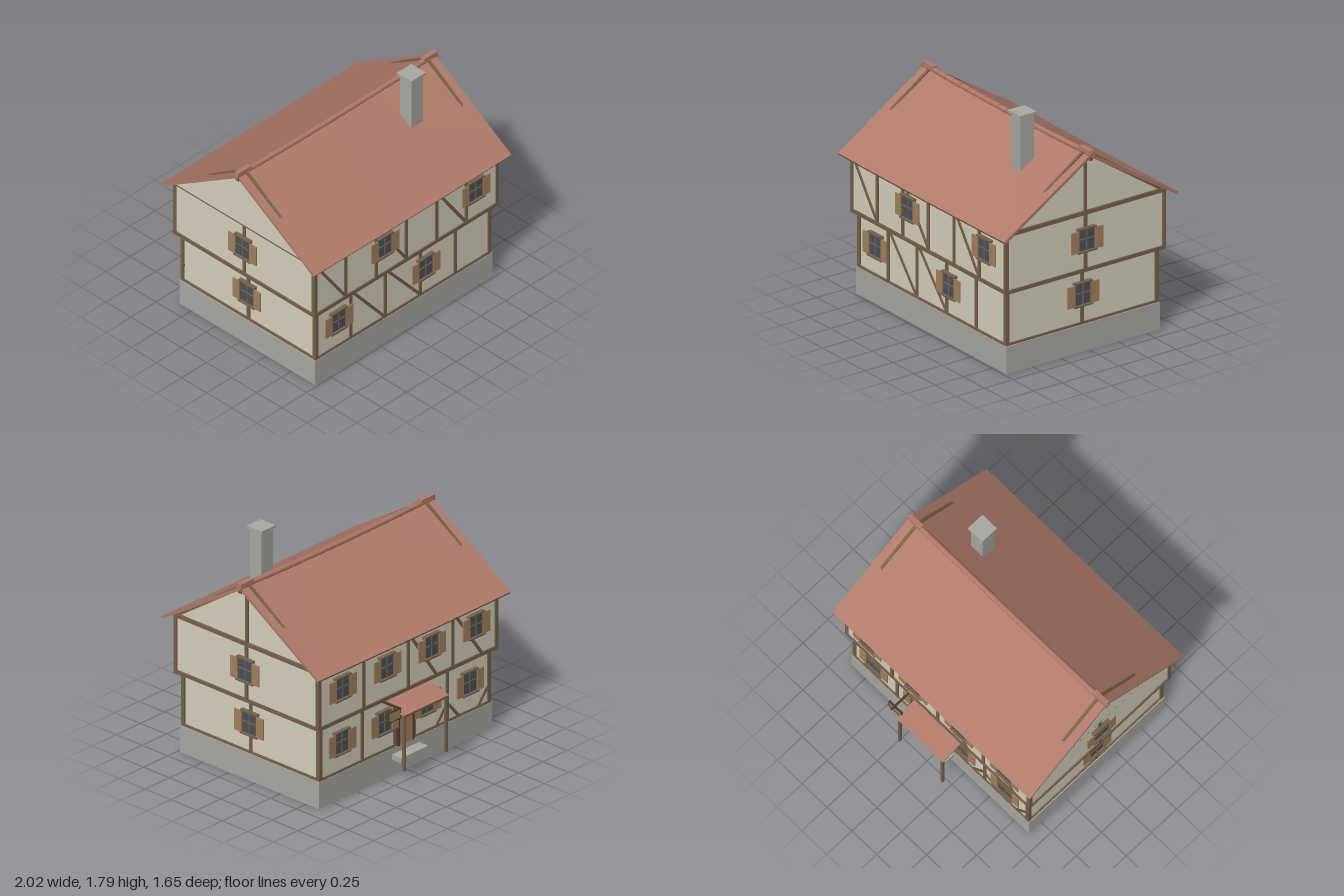
import * as THREE from 'three';

const paint = (color) => new THREE.MeshStandardMaterial({ color });
const stone = paint(0xaaa8a2), plaster = paint(0xd6d0bc), timber = paint(0x77624c), tile = paint(0xb07a6a);
const glass = paint(0x48525e), wood = paint(0xa5825f), dark = paint(0x4e3c2e), lamp = paint(0xe0b878);

function box(parent, name, mat, w, h, d, x, y, z) {
  const mesh = new THREE.Mesh(new THREE.BoxGeometry(w, h, d), mat);
  mesh.name = name;
  mesh.position.set(x, y, z);
  parent.add(mesh);
  return mesh;
}

// Straight timber between two points of a wall plane
function beam(parent, name, x1, y1, x2, y2, width = 0.025, z = 0, depth = 0.03) {
  const m = box(parent, name, timber, Math.hypot(x2 - x1, y2 - y1), width, depth, (x1 + x2) / 2, (y1 + y2) / 2, z - depth / 2);
  m.rotation.z = Math.atan2(y2 - y1, x2 - x1);
  return m;
}

// Window with cross bars, sill, lintel and open shutters
function addWindow(parent, x, y) {
  const g = new THREE.Group();
  g.name = 'window';
  g.position.set(x, y, 0);
  parent.add(g);
  box(g, 'pane', glass, 0.135, 0.165, 0.02, 0, 0, -0.005);
  for (const s of [-1, 1]) {
    box(g, 'frameSide', timber, 0.01, 0.17, 0.025, s * 0.07, 0, 0);
    box(g, 'shutter', wood, 0.068, 0.165, 0.01, s * 0.105, -0.005, 0.012);
  }
  box(g, 'lintel', timber, 0.16, 0.012, 0.035, 0, 0.087, 0.003);
  box(g, 'sill', timber, 0.165, 0.012, 0.04, 0, -0.09, 0.003);
  box(g, 'mullion', timber, 0.011, 0.165, 0.014, 0, 0, 0.004);
  box(g, 'transom', timber, 0.135, 0.01, 0.014, 0, 0.005, 0.004);
}

// One storey of one side: rails, posts, braces and windows
function facade(parent, name, { angle, dist, half, y0, y1, posts, braces = [], windows, wy }) {
  const g = new THREE.Group();
  g.name = name;
  g.rotation.y = angle;
  g.position.set(Math.sin(angle) * dist, 0, Math.cos(angle) * dist);
  parent.add(g);
  beam(g, 'bottomRail', -half, y0, half, y0, 0.028);
  beam(g, 'topRail', -half, y1, half, y1, 0.03);
  for (const x of posts) beam(g, 'post', x, y0, x, y1);
  for (const b of braces) beam(g, 'brace', ...b, 0.022, -0.003);
  for (const x of windows) addWindow(g, x, wy);
}

const sag = (x) => 0.016 * (1 - x * x);

export function createModel() {
  const model = new THREE.Group();
  model.name = 'timberFramedHouse';
  const house = new THREE.Group();
  house.name = 'house';
  house.position.z = 0.055;
  model.add(house);

  // Masonry base and plastered storeys
  box(house, 'base', stone, 1.79, 0.21, 1.35, 0, 0.105, 0);
  box(house, 'lowerWalls', plaster, 1.75, 0.44, 1.324, 0, 0.42, 0);
  box(house, 'upperWalls', plaster, 1.84, 0.45, 1.39, 0, 0.865, 0);

  // Timber framing of the long sides
  const low = { y0: 0.213, y1: 0.625, wy: 0.45, half: 0.885, dist: 0.672, posts: [-0.875, -0.525, -0.18, 0.175, 0.525, 0.875] };
  const up = { y0: 0.643, y1: 1.085, wy: 0.9, half: 0.93, dist: 0.706, posts: [-0.917, -0.61, -0.305, 0, 0.305, 0.605, 0.917] };
  facade(house, 'frontLower', { ...low, angle: 0, windows: [-0.66, 0.215],
    braces: [[-0.515, 0.62, -0.19, 0.225], [-0.165, 0.62, 0.17, 0.225]] });
  facade(house, 'frontUpper', { ...up, angle: 0, windows: [-0.23, 0.685],
    braces: [[-0.905, 1.07, -0.615, 0.655], [-0.295, 1.07, 0, 0.655], [0.31, 1.07, 0.6, 0.655]] });
  facade(house, 'backLower', { ...low, angle: Math.PI, windows: [-0.66, -0.22, 0.22, 0.66], posts: [-0.875, -0.44, -0.1, 0.1, 0.44, 0.875],
    braces: [[0.44, 0.36, 0.56, 0.22], [0.875, 0.36, 0.76, 0.22], [0.44, 0.36, 0.33, 0.22]] });
  facade(house, 'backUpper', { ...up, angle: Math.PI, windows: [-0.69, -0.23, 0.23, 0.69],
    posts: [-0.917, -0.46, 0, 0.46, 0.917], braces: [[0.01, 1.07, 0.29, 0.655], [0.47, 1.07, 0.76, 0.655]] });

  // Timber framing of the gable sides
  for (const [side, s] of [['left', 1], ['right', -1]]) {
    const angle = s * Math.PI / 2;
    facade(house, side + 'Lower', { ...low, angle, dist: 0.887, half: 0.67, posts: [-0.66, 0, 0.66], windows: [0] });
    facade(house, side + 'Upper', { ...up, angle, dist: 0.931, half: 0.704, posts: [-0.692, 0, 0.692], windows: [0], wy: 0.885 });

    // Gable triangle
    const tri = new THREE.Shape([new THREE.Vector2(-0.695, 1.085), new THREE.Vector2(0.695, 1.085), new THREE.Vector2(0, 1.53)]);
    const gable = new THREE.Mesh(new THREE.ExtrudeGeometry(tri, { depth: 0.03, bevelEnabled: false }), plaster);
    gable.name = side + 'Gable';
    gable.rotation.y = angle;
    gable.position.x = s * (s > 0 ? 0.885 : 0.904);
    house.add(gable);

    // Gable rafters, rising just through the tiles near the ridge
    const frame = new THREE.Group();
    frame.name = side + 'GableFrame';
    frame.rotation.y = angle;
    frame.position.x = s * 0.926;
    house.add(frame);
    for (const m of [-1, 1]) beam(frame, 'rafter', m * 0.685, 1.09, 0, 1.554, 0.032, 0, 0.022);
    if (s > 0) beam(frame, 'kingPost', 0, 1.09, 0, 1.53, 0.025, 0.002);
  }

  // Sagging roof slopes
  const run = 0.765, rise = 0.485, len = Math.hypot(run, rise);
  for (const s of [-1, 1]) {
    const geo = new THREE.BoxGeometry(1.985, 0.022, len, 24, 1, 4);
    geo.rotateX(s * Math.atan2(rise, run));
    geo.translate(0, 1.3065, s * run / 2 - s * 0.004);
    const p = geo.attributes.position;
    for (let i = 0; i < p.count; i++) {
      const t = 1 - 0.7 * Math.min(1, Math.abs(p.getZ(i)) / run);
      p.setY(i, p.getY(i) - sag(p.getX(i)) * t);
    }
    geo.computeVertexNormals();
    const slope = new THREE.Mesh(geo, tile);
    slope.name = s > 0 ? 'frontRoof' : 'backRoof';
    house.add(slope);
  }

  // Overlapping ridge tiles, with heavier pieces at the ends
  const count = 22;
  for (let i = 0; i < count; i++) {
    const x = -0.96 + (1.92 * i) / (count - 1);
    const cap = new THREE.Mesh(new THREE.CylinderGeometry(0.021, 0.024, 0.096, 8), tile);
    cap.name = 'ridgeTile';
    cap.rotation.z = Math.PI / 2;
    cap.position.set(x, 1.56 - sag(x), 0);
    house.add(cap);
  }
  for (const s of [-1, 1]) {
    box(house, 'ridgeEnd', tile, 0.13, 0.022, 0.04, s * 0.935, 1.576, 0);
    box(house, 'ridgeEndBoard', timber, 0.012, 0.06, 0.03, s * 0.99, 1.54, 0);
  }

  // Chimney
  box(model, 'chimney', stone, 0.115, 0.57, 0.115, 0.508, 1.485, 0.303);
  box(model, 'chimneyCap', stone, 0.145, 0.02, 0.145, 0.508, 1.78, 0.303);

  // Door, step and lanterns on the back
  const entry = new THREE.Group();
  entry.name = 'entrance';
  model.add(entry);
  box(entry, 'door', wood, 0.13, 0.3, 0.02, 0, 0.36, -0.615);
  box(entry, 'doorLintel', dark, 0.17, 0.02, 0.03, 0, 0.52, -0.615);
  box(entry, 'step', stone, 0.28, 0.04, 0.1, 0, 0.143, -0.66);
  box(entry, 'porchBeam', timber, 0.45, 0.02, 0.02, 0, 0.555, -0.808);
  const porch = box(entry, 'porchRoof', tile, 0.465, 0.014, 0.215, 0, 0.588, -0.72);
  porch.rotation.x = -Math.atan2(0.05, 0.2);
  for (const s of [-1, 1]) {
    box(entry, 'doorJamb', dark, 0.02, 0.31, 0.03, s * 0.075, 0.365, -0.615);
    box(entry, 'porchPost', timber, 0.02, 0.44, 0.02, s * 0.215, 0.345, -0.81);
    box(entry, 'lantern', lamp, 0.03, 0.045, 0.03, s * 0.13, 0.485, -0.645);
    box(entry, 'lanternCap', dark, 0.036, 0.008, 0.036, s * 0.13, 0.511, -0.645);
  }

  // Hanging board on its bracket
  const sign = new THREE.Group();
  sign.name = 'hangingBoard';
  sign.position.set(0.287, 0, -0.78);
  model.add(sign);
  box(sign, 'bracket', dark, 0.014, 0.014, 0.17, 0, 0.648, 0.04);
  box(sign, 'board', wood, 0.115, 0.07, 0.01, 0, 0.575, 0);
  for (const s of [-1, 1]) {
    box(sign, 'boardRail', dark, 0.13, 0.008, 0.016, 0, 0.575 + s * 0.038, 0);
    box(sign, 'boardStile', dark, 0.008, 0.08, 0.016, s * 0.06, 0.575, 0);
  }
  box(sign, 'hanger', dark, 0.006, 0.035, 0.006, 0, 0.63, 0);

  return model;
}
